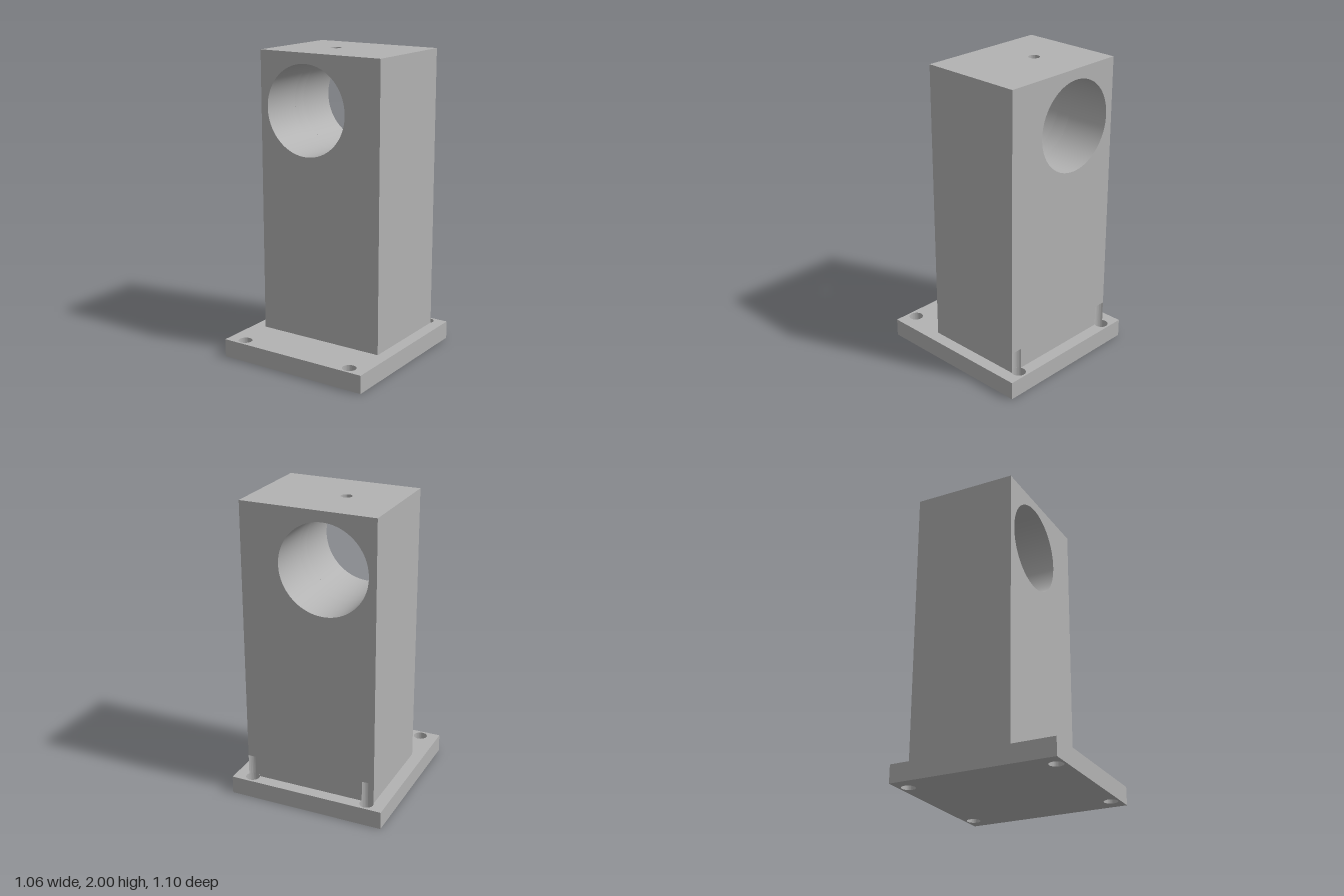
import * as THREE from 'three';
import { toCreasedNormals } from 'three/addons/utils/BufferGeometryUtils.js';

const BASE_X = 0.53, BASE_Z = 0.55, BASE_TOP = 0.12;
const COL_X = 0.448, COL_BACK = -0.469, COL_FRONT = 0.221, TOP = 2;
const BOLT_X = 0.408, BOLT_Z = 0.49, BOLT_R = 0.046, NOTCH_TOP = 0.26;
const BORE_X = -0.102, BORE_Y = 1.635, BORE_R = 0.296;
const PIN_Z = -0.124, PIN_R = 0.0364, PIN_BLOCK = 0.05;

function circle(x, y, r) {
  return new THREE.Path().absarc(x, y, r, 0, Math.PI * 2, false);
}

function extrude(shape, depth, curveSegments = 24) {
  const geo = new THREE.ExtrudeGeometry(shape, { depth, bevelEnabled: false, curveSegments });
  return toCreasedNormals(geo, 0.5);
}

// Plan shapes use (x, -z) and are raised from y0 to y1
function raise(shape, y0, y1) {
  return extrude(shape, y1 - y0).rotateX(-Math.PI / 2).translate(0, y0, 0);
}

function rect(x0, y0, x1, y1) {
  return new THREE.Shape().moveTo(x0, y0).lineTo(x1, y0).lineTo(x1, y1).lineTo(x0, y1).closePath();
}

export function createModel() {
  const model = new THREE.Group();
  const grey = new THREE.MeshStandardMaterial({ color: 0xb2b2b2 });
  grey.name = 'plainGrey';
  const add = (name, geo, parent) => {
    const mesh = new THREE.Mesh(geo, grey);
    mesh.name = name;
    parent.add(mesh);
  };

  // Base plate with four bolt holes
  const plate = rect(-BASE_X, -BASE_Z, BASE_X, BASE_Z);
  for (const sx of [-1, 1]) for (const sz of [-1, 1])
    plate.holes.push(circle(sx * BOLT_X, sz * BOLT_Z, BOLT_R));
  add('basePlate', raise(plate, 0, BASE_TOP), model);

  const column = new THREE.Group();
  column.name = 'column';
  model.add(column);

  // Column foot, notched at the back for the bolts
  const a = Math.asin((BOLT_Z + COL_BACK) / BOLT_R);
  const foot = new THREE.Shape().moveTo(-COL_X, -COL_FRONT).lineTo(COL_X, -COL_FRONT).lineTo(COL_X, -COL_BACK);
  for (const sx of [1, -1])
    foot.absarc(sx * (COL_X - BOLT_R * Math.cos(a)), BOLT_Z, BOLT_R, -a, a - Math.PI, true);
  foot.lineTo(-COL_X, -COL_BACK).closePath();
  add('columnFoot', raise(foot, BASE_TOP, NOTCH_TOP), column);

  // Bored column in front of and behind the pin hole
  const bored = rect(-COL_X, NOTCH_TOP, COL_X, TOP);
  bored.holes.push(circle(BORE_X, BORE_Y, BORE_R));
  const z0 = PIN_Z - PIN_BLOCK, z1 = PIN_Z + PIN_BLOCK;
  add('columnBack', extrude(bored, z0 - COL_BACK, 48).translate(0, 0, COL_BACK), column);
  add('columnFront', extrude(bored, COL_FRONT - z1, 48).translate(0, 0, z1), column);

  // Middle slice, open above the bore for the pin block
  const gap = Math.asin(PIN_BLOCK / BORE_R);
  const slotted = new THREE.Shape()
    .moveTo(-COL_X, NOTCH_TOP).lineTo(COL_X, NOTCH_TOP).lineTo(COL_X, TOP).lineTo(BORE_X + PIN_BLOCK, TOP)
    .absarc(BORE_X, BORE_Y, BORE_R, Math.PI / 2 - gap, gap - Math.PI * 1.5, true)
    .lineTo(BORE_X - PIN_BLOCK, TOP).lineTo(-COL_X, TOP).closePath();
  add('columnMiddle', extrude(slotted, z1 - z0, 48).translate(0, 0, z0), column);

  // Pin block: a square with a round hole, its underside bent to the bore
  const corners = [[-1, -1], [1, -1], [1, 1], [-1, 1]];
  const outline = [];
  corners.forEach(([x, y], i) => {
    const [nx, ny] = corners[(i + 1) % 4];
    for (let k = 0; k < 8; k++)
      outline.push(new THREE.Vector2(x + (nx - x) * k / 8, y + (ny - y) * k / 8).multiplyScalar(PIN_BLOCK));
  });
  const block = new THREE.Shape(outline);
  block.holes.push(circle(0, 0, PIN_R));
  const pin = raise(block, 0, TOP - BORE_Y);
  const pos = pin.attributes.position, nor = pin.attributes.normal;
  for (let i = 0; i < pos.count; i++) {
    if (pos.getY(i) > 0.01) continue;
    const x = pos.getX(i), y = Math.sqrt(BORE_R * BORE_R - x * x);
    pos.setY(i, y);
    if (nor.getY(i) < -0.9) nor.setXYZ(i, -x / BORE_R, -y / BORE_R, 0);
  }
  add('pinHoleBlock', pin.translate(BORE_X, BORE_Y, PIN_Z), column);

  return model;
}
